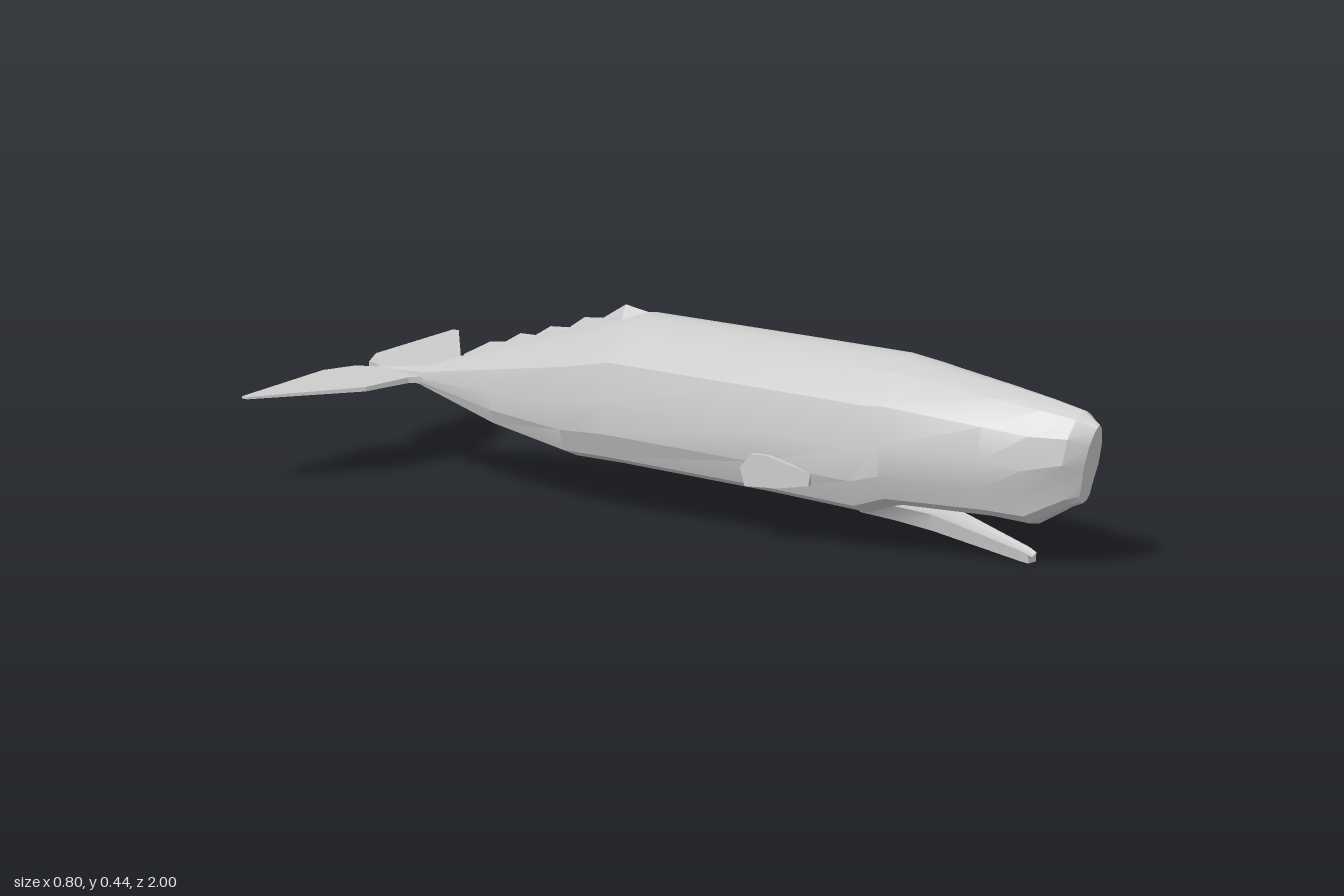
import * as THREE from 'three';
import { toCreasedNormals } from 'three/addons/utils/BufferGeometryUtils.js';

const material = new THREE.MeshStandardMaterial({ color: 0xcccccc });

// Skin a list of closed rings, ordered front to back, each clockwise seen from +z
function loft(rings, crease) {
  const n = rings[0].length, pos = rings.flat(2), index = [];
  for (let i = 0; i < rings.length - 1; i++) {
    for (let j = 0; j < n; j++) {
      const a = i * n + j, b = i * n + (j + 1) % n;
      index.push(a, b, a + n, b, b + n, a + n);
    }
  }
  // Fan caps at both ends
  [rings[0], rings[rings.length - 1]].forEach((ring, end) => {
    const c = pos.length / 3, base = end ? (rings.length - 1) * n : 0;
    for (let k = 0; k < 3; k++) pos.push(ring.reduce((s, p) => s + p[k], 0) / n);
    for (let j = 0; j < n; j++) {
      const a = base + j, b = base + (j + 1) % n;
      if (end) index.push(c, a, b); else index.push(c, b, a);
    }
  });
  const g = new THREE.BufferGeometry();
  g.setAttribute('position', new THREE.Float32BufferAttribute(pos, 3));
  g.setIndex(index);
  return toCreasedNormals(g, crease);
}

// Half outline from the crown to the belly: [width fraction, height fraction]
const HALF = [[0, 1], [0.17, 0.985], [0.45, 0.93], [0.86, 0.745], [1, 0.48],
  [0.99, 0.27], [0.86, 0.1], [0.55, 0.03], [0, 0]];
const OUTLINE = [...HALF, ...HALF.slice(1, -1).reverse().map(([u, v]) => [-u, v])];

// zTop, zBottom, half width, top, bottom, narrowing of the underside
function bodyRing([zTop, zBottom, w, top, bottom, pinch]) {
  return OUTLINE.map(([u, v]) => [
    u * w * (v < 0.4 ? pinch : 1),
    bottom + v * (top - bottom),
    zBottom + v * (zTop - zBottom),
  ]);
}

// Move every vertex by a rule
function warp(g, rule) {
  const p = g.attributes.position, v = new THREE.Vector3();
  for (let i = 0; i < p.count; i++) {
    rule(v.fromBufferAttribute(p, i));
    p.setXYZ(i, v.x, v.y, v.z);
  }
  g.computeVertexNormals();
  return g;
}

function plate(points, depth) {
  const shape = new THREE.Shape(points.map(([x, y]) => new THREE.Vector2(x, y)));
  return new THREE.ExtrudeGeometry(shape, { depth, bevelEnabled: false }).translate(0, 0, -depth / 2);
}

export function createModel() {
  const model = new THREE.Group();
  const add = (name, geometry) => {
    const mesh = new THREE.Mesh(geometry, material);
    mesh.name = name;
    model.add(mesh);
  };

  // Blunt head, trunk and tapering tail
  add('body', loft([
    [1.0, 0.955, 0.028, 0.33, 0.15, 0.8],
    [0.96, 0.93, 0.065, 0.357, 0.14, 0.75],
    [0.87, 0.84, 0.092, 0.373, 0.09, 0.85],
    [0.76, 0.76, 0.125, 0.388, 0.1, 0.95],
    [0.53, 0.53, 0.172, 0.418, 0.1, 1],
    [0.48, 0.45, 0.18, 0.424, 0.072, 1],
    [0.2, 0.2, 0.18, 0.425, 0.085, 1],
    [-0.2, -0.2, 0.18, 0.425, 0.098, 1],
    [-0.33, -0.33, 0.155, 0.385, 0.096, 1],
    [-0.55, -0.55, 0.103, 0.315, 0.13, 1],
    [-0.79, -0.79, 0.028, 0.23, 0.187, 1],
    [-0.92, -0.92, 0.004, 0.21, 0.2, 1],
  ].map(bodyRing), 0.36));

  // Narrow open lower jaw with a groove on top
  add('lowerJaw', loft([
    [0.82, 0.016, 0.014, 0.02, 0.0],
    [0.8, 0.02, 0.016, 0.028, 0.003],
    [0.58, 0.045, 0.036, 0.085, 0.046],
    [0.5, 0.085, 0.06, 0.102, 0.063],
    [0.42, 0.135, 0.08, 0.115, 0.075],
  ].map(([z, wTop, wLow, top, low]) => [
    [0, top - 0.008, z], [wTop * 0.55, top - 0.006, z], [wTop, top, z], [wLow, low, z],
    [-wLow, low, z], [-wTop, top, z], [-wTop * 0.55, top - 0.006, z],
  ]), 0.4));

  // Saw-toothed ridge along the back
  add('backRidge', loft([
    [-0.19, 0.424], [-0.26, 0.435], [-0.32, 0.397], [-0.37, 0.392], [-0.41, 0.364], [-0.46, 0.36],
    [-0.5, 0.335], [-0.54, 0.334], [-0.58, 0.31], [-0.62, 0.305], [-0.69, 0.268],
  ].map(([z, y]) => [[0, y, z], [0.022, y - 0.04, z], [-0.022, y - 0.04, z]]), 0.3));

  // Tail flukes with a centre notch, thinning to the tips
  const half = [[0.03, 0.78], [0.055, 0.8], [0.18, 0.825], [0.4, 0.985], [0.4, 1.0],
    [0.1, 0.995], [0.025, 0.96], [0.01, 0.92]];
  const flukes = plate([...half, ...half.map(([x, y]) => [-x, y]).reverse()], 0.014);
  flukes.rotateX(-Math.PI / 2);
  add('tailFlukes', warp(flukes, (v) => {
    v.y = 0.205 + v.y * (1 - 1.6 * Math.abs(v.x));
  }));

  // Small flippers, swept outward to the rear
  for (const side of [1, -1]) {
    const flipper = plate([[0.355, 0.17], [0.35, 0.142], [0.28, 0.131], [0.205, 0.13],
      [0.195, 0.172], [0.22, 0.203], [0.255, 0.202]], 0.012);
    flipper.rotateY(-Math.PI / 2);
    add(side > 0 ? 'leftFlipper' : 'rightFlipper', warp(flipper, (v) => {
      v.x += side * (0.172 + (0.355 - v.z) * 0.24);
    }));
  }
  return model;
}
